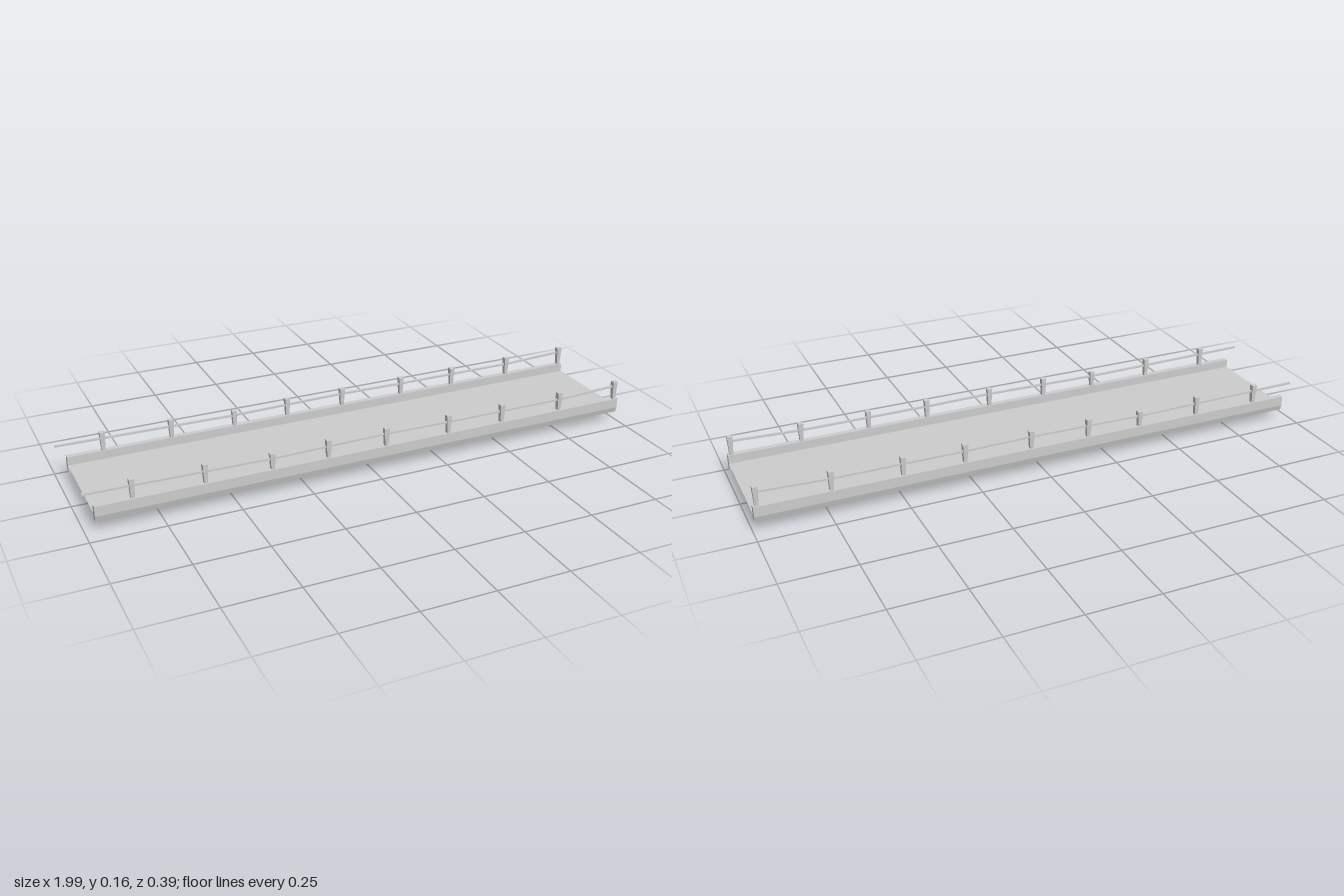
import * as THREE from 'three';

const concrete = new THREE.MeshStandardMaterial({ color: 0xcccccc, side: THREE.DoubleSide });
concrete.name = 'light grey concrete';

function add(parent, name, geometry, x = 0, y = 0, z = 0) {
  const mesh = new THREE.Mesh(geometry, concrete);
  mesh.name = name;
  mesh.position.set(x, y, z);
  parent.add(mesh);
  return mesh;
}

// Four-sided post, waisted at the foot and wider at the head
function postGeometry(height) {
  const profile = [[0, 0], [0.006, 0], [0.0085, height * 0.72], [0.009, height], [0, height]]
    .map(([half, y]) => new THREE.Vector2(half * Math.SQRT2, y));
  const geometry = new THREE.LatheGeometry(profile, 4, Math.PI / 4).toNonIndexed();
  geometry.computeVertexNormals();
  return geometry;
}

// Edge beam with its lower outer corner cut back, running along x
function beamGeometry(side, length) {
  const section = new THREE.Shape([[0.175, 0.036], [0.19, 0.036], [0.195, 0.055], [0.195, 0.09], [0.175, 0.09]]
    .map(([z, y]) => new THREE.Vector2(-z * side, y)));
  return new THREE.ExtrudeGeometry(section, { depth: length, bevelEnabled: false }).rotateY(Math.PI / 2);
}

// Post positions: x and height above the beam
const posts = [[-0.84, 0.067], [-0.6, 0.066], [-0.37, 0.055], [-0.17, 0.064], [0.045, 0.064],
  [0.285, 0.065], [0.5, 0.065], [0.74, 0.067], [0.98, 0.068]];

// Slightly uneven handrail: x and y of each joint
const railJoints = [[-1, 0.135], [-0.84, 0.133], [-0.6, 0.13], [-0.37, 0.127], [-0.17, 0.13],
  [0.045, 0.133], [0.285, 0.13], [0.5, 0.13], [0.74, 0.13], [0.98, 0.139]];

// Upright plates under the deck: x and z of each centre
const plates = [[0.335, -0.047], [0.224, 0.041], [-0.495, 0.005], [-0.55, -0.062], [-0.826, 0.003]];

export function createModel() {
  const bridge = new THREE.Group();
  bridge.name = 'bridge';
  const start = -0.965, end = 0.993;

  // Deck
  add(bridge, 'deck', new THREE.PlaneGeometry(end - start, 0.36).rotateX(-Math.PI / 2), (start + end) / 2, 0.06, 0);

  // Both edges with beam, posts and handrail
  for (const side of [1, -1]) {
    const edge = new THREE.Group();
    edge.name = side > 0 ? 'frontEdge' : 'backEdge';
    bridge.add(edge);
    add(edge, 'edgeBeam', beamGeometry(side, end - start), start, 0, 0);
    for (const [x, height] of posts) add(edge, 'post', postGeometry(height), x, 0.09, side * 0.184);
    for (let i = 1; i < railJoints.length; i++) {
      const [x0, y0] = railJoints[i - 1], [x1, y1] = railJoints[i];
      const rail = add(edge, 'handrail', new THREE.BoxGeometry(Math.hypot(x1 - x0, y1 - y0), 0.007, 0.007),
        (x0 + x1) / 2, (y0 + y1) / 2, side * 0.184);
      rail.rotation.z = Math.atan2(y1 - y0, x1 - x0);
    }
  }

  // Support plates below the deck
  for (const [x, z] of plates) {
    add(bridge, 'supportPlate', new THREE.PlaneGeometry(0.106, 0.06).rotateY(Math.PI / 2), x, 0.03, z);
  }
  return bridge;
}
